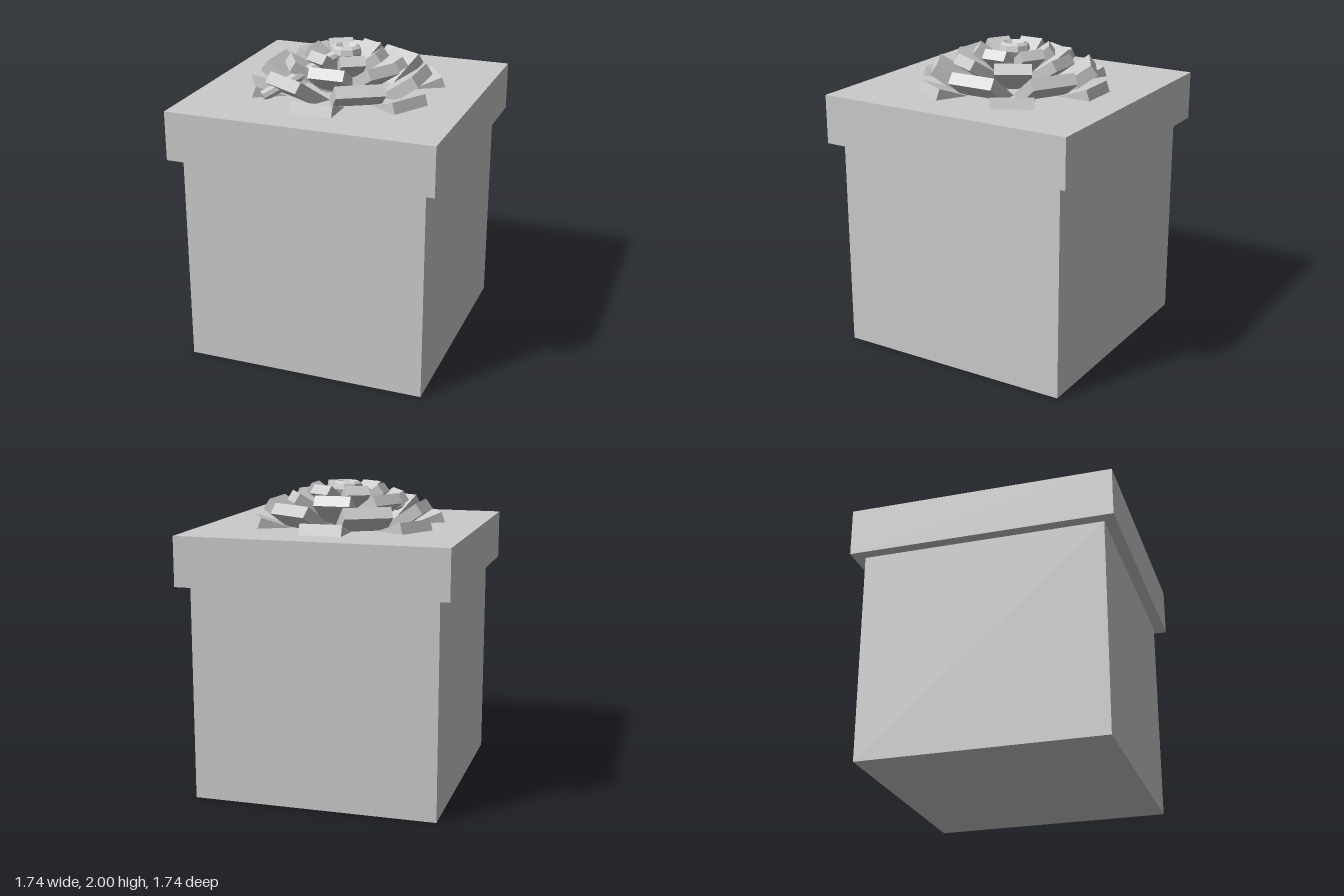
import * as THREE from 'three';

const material = new THREE.MeshStandardMaterial({ color: 0xcccccc, flatShading: true });

function addMesh(parent, name, geometry) {
  const mesh = new THREE.Mesh(geometry, material);
  mesh.name = name;
  parent.add(mesh);
  return mesh;
}

// Rings of six bow petals, from the widest to the smallest:
// r, y = lower outer edge; width across; length inwards; tilt upwards
const RINGS = [
  { r: 0.63, y: 1.72, width: 0.274, length: 0.4, thick: 0.074, tilt: 0.34, turn: Math.PI / 6 },
  { r: 0.538, y: 1.815, width: 0.312, length: 0.45, thick: 0.08, tilt: 0.61, turn: 0 },
  { r: 0.385, y: 1.873, width: 0.236, length: 0.36, thick: 0.074, tilt: 0.57, turn: Math.PI / 6 },
  { r: 0.265, y: 1.93, width: 0.16, length: 0.26, thick: 0.07, tilt: 0.64, turn: 0 },
];

export function createModel() {
  const model = new THREE.Group();
  model.name = 'giftBox';

  // Box and overhanging lid
  addMesh(model, 'boxBody', new THREE.BoxGeometry(1.59, 1.4, 1.59).translate(0, 0.7, 0));
  addMesh(model, 'lid', new THREE.BoxGeometry(1.74, 0.32, 1.74).translate(0, 1.56, 0));

  // Bow: petals rise outwards from the middle
  const bow = new THREE.Group();
  bow.name = 'bow';
  model.add(bow);
  for (const { r, y, width, length, thick, tilt, turn } of RINGS) {
    const petal = new THREE.BoxGeometry(length, thick, width)
      .translate(-length / 2, thick / 2, 0)
      .rotateZ(tilt)
      .translate(r, y, 0);
    for (let i = 0; i < 6; i++) {
      addMesh(bow, 'petal', petal).rotation.y = turn + (i * Math.PI) / 3;
    }
  }

  // Eight-sided bud with a hollow top
  const profile = [[0, 1.84], [0.07, 1.88], [0.105, 1.95], [0.095, 1.985], [0.07, 2], [0.05, 1.98], [0, 1.94]]
    .map(([x, y]) => new THREE.Vector2(x, y));
  addMesh(bow, 'bud', new THREE.LatheGeometry(profile, 8));

  // Stem running from the bud down to the lid between the petals
  const start = new THREE.Vector3(-0.03, 1.95, 0.03);
  const end = new THREE.Vector3(-0.41, 1.73, 0.42);
  const stem = addMesh(bow, 'stem', new THREE.CylinderGeometry(0.038, 0.038, start.distanceTo(end), 8));
  stem.position.copy(start).lerp(end, 0.5);
  stem.quaternion.setFromUnitVectors(new THREE.Vector3(0, 1, 0), start.clone().sub(end).normalize());

  return model;
}
